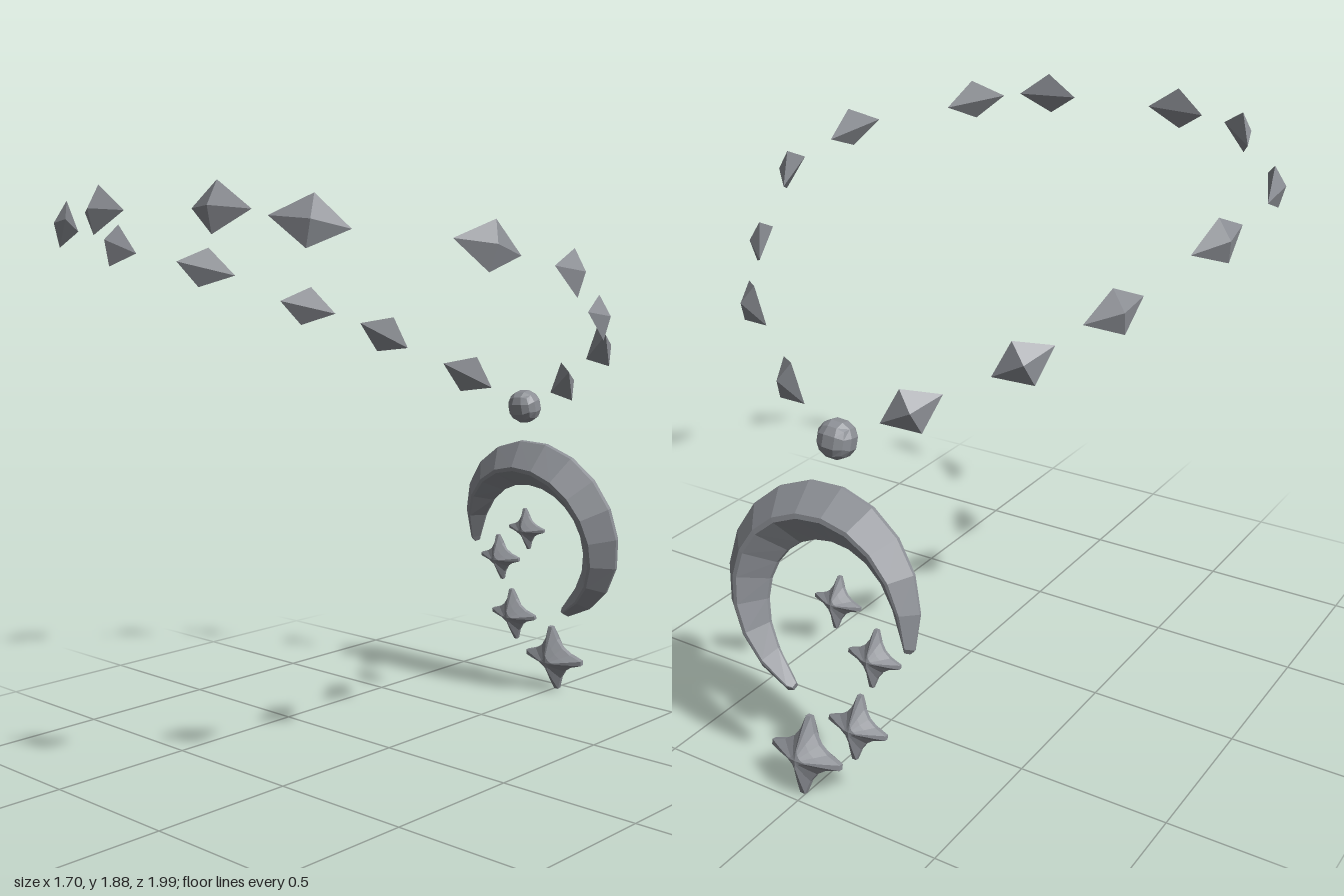
import * as THREE from 'three';
import { ConvexGeometry } from 'three/addons/geometries/ConvexGeometry.js';

const V = (x, y, z) => new THREE.Vector3(x, y, z);

// Skin a list of closed rings into a faceted surface
function loft(rings) {
  const pos = [], tri = new THREE.Triangle();
  const add = (a, b, c) => {
    if (tri.set(a, b, c).getArea() > 1e-9) for (const p of [a, b, c]) pos.push(p.x, p.y, p.z);
  };
  for (let i = 0; i < rings.length - 1; i++) {
    const r = rings[i], s = rings[i + 1], n = r.length;
    for (let j = 0; j < n; j++) {
      const k = (j + 1) % n;
      add(r[j], r[k], s[k]);
      add(r[j], s[k], s[j]);
    }
  }
  const geo = new THREE.BufferGeometry();
  geo.setAttribute('position', new THREE.Float32BufferAttribute(pos, 3));
  geo.computeVertexNormals();
  return geo;
}

// Tapered crescent with a bevelled diamond section
function crescentGeometry() {
  const section = [];
  for (let k = 0; k < 4; k++) {
    const a = k * Math.PI / 2;
    for (const e of [-0.09, 0.09]) {
      section.push([Math.sin(a) + e * Math.cos(a), Math.cos(a) - e * Math.sin(a)]);
    }
  }
  const N = 14, steps = [[-0.012, 0], [-0.012, 0.55]];
  for (let i = 0; i <= N; i++) steps.push([i / N, 1]);
  steps.push([1.012, 0.55], [1.012, 0]);
  return loft(steps.map(([u, scale]) => {
    const angle = THREE.MathUtils.degToRad(-73 + 264 * u);
    const s = Math.sin(Math.PI * THREE.MathUtils.clamp(u, 0, 1));
    const half = 0.024 + 0.066 * Math.pow(Math.max(s, 0), 0.7);
    const mid = 0.357 - 0.012 * (1 - s) - half;
    return section.map(([p, q]) => {
      const r = mid + half * scale * p;
      return V(r * Math.cos(angle), r * Math.sin(angle), half * scale * q);
    });
  }));
}

// Puffed four-pointed star of unit radius
function starGeometry() {
  const quarter = [[1, -0.07], [1, 0.07], [0.62, 0.2], [0.37, 0.37], [0.2, 0.62]];
  const outline = [];
  for (let k = 0; k < 4; k++) {
    const c = [1, 0, -1, 0][k], s = [0, 1, 0, -1][k];
    for (const [x, y] of quarter) outline.push([x * c - y * s, x * s + y * c]);
  }
  const levels = [[0, -0.47], [0.22, -0.44], [0.6, -0.26], [0.98, -0.06],
    [0.98, 0.06], [0.6, 0.26], [0.22, 0.44], [0, 0.47]];
  return loft(levels.map(([r, z]) => outline.map(([x, y]) => V(x * r, y * r, z))));
}

// Small faceted ball made from a rounded cube
function ballGeometry() {
  const geo = new THREE.BoxGeometry(1, 1, 1, 3, 3, 3);
  const p = geo.attributes.position, v = V(0, 0, 0);
  for (let i = 0; i < p.count; i++) {
    v.fromBufferAttribute(p, i).normalize();
    p.setXYZ(i, v.x, v.y, v.z);
  }
  geo.computeVertexNormals();
  return geo;
}

export function createModel() {
  const group = new THREE.Group();
  const metal = new THREE.MeshStandardMaterial({ color: 0x8c8f95, flatShading: true });
  metal.name = 'greyMetal';
  const part = (name, geo, parent) => {
    const mesh = new THREE.Mesh(geo, metal);
    mesh.name = name;
    parent.add(mesh);
    return mesh;
  };

  // Necklace gems: the two tips of each, mirrored across x
  const chain = new THREE.Group();
  chain.name = 'gemChain';
  group.add(chain);
  const gem = new ConvexGeometry([V(-0.5, 0, 0), V(0.5, 0, 0),
    V(0, 0.073, 0.027), V(0, -0.073, 0.027), V(0, 0, 0.056)]);
  const tips = [
    [0.135, 1.19, -0.71, 0.287, 1.278, -0.61],
    [0.405, 1.333, -0.543, 0.553, 1.425, -0.44],
    [0.587, 1.462, -0.343, 0.683, 1.512, -0.153],
    [0.755, 1.605, 0, 0.825, 1.657, 0.213],
    [0.836, 1.685, 0.38, 0.757, 1.732, 0.573],
    [0.597, 1.755, 0.79, 0.444, 1.79, 0.945],
    [0.366, 1.808, 0.93, 0.149, 1.812, 0.953],
  ];
  for (const side of [1, -1]) {
    tips.forEach(([x1, y1, z1, x2, y2, z2], i) => {
      const a = V(side * x1, y1, z1), b = V(side * x2, y2, z2);
      const along = b.clone().sub(a), length = along.length();
      along.normalize();
      const out = V(along.z, 0, -along.x).normalize().multiplyScalar(side);
      out.y = 0.15;
      out.addScaledVector(along, -out.dot(along)).normalize();
      const up = out.clone().cross(along);
      const mesh = part((side > 0 ? 'leftGem' : 'rightGem') + (i + 1), gem, chain);
      mesh.quaternion.setFromRotationMatrix(new THREE.Matrix4().makeBasis(along, up, out));
      mesh.position.copy(a).add(b).multiplyScalar(0.5);
      mesh.scale.x = length;
    });
  }

  // Ball joining the chain and the pendant
  const ball = part('linkBall', ballGeometry(), group);
  ball.position.set(-0.01, 1.127, -0.748);
  ball.rotation.set(0.18, 0.1, 0.08);
  ball.scale.set(0.063, 0.063, 0.058);

  // Leaning pendant: crescent and four stars
  const pendant = new THREE.Group();
  pendant.name = 'pendant';
  pendant.position.set(-0.006, 0.645, -0.843);
  pendant.rotation.x = 0.18;
  group.add(pendant);
  part('crescent', crescentGeometry(), pendant);
  const star = starGeometry();
  const stars = [[-0.057, 0.003, 0.083], [-0.202, -0.132, 0.093],
    [-0.164, -0.365, 0.106], [0.014, -0.516, 0.132]];
  stars.forEach(([x, y, r], i) => {
    const mesh = part('star' + (i + 1), star, pendant);
    mesh.position.set(x, y, 0);
    mesh.scale.setScalar(r);
  });
  return group;
}
